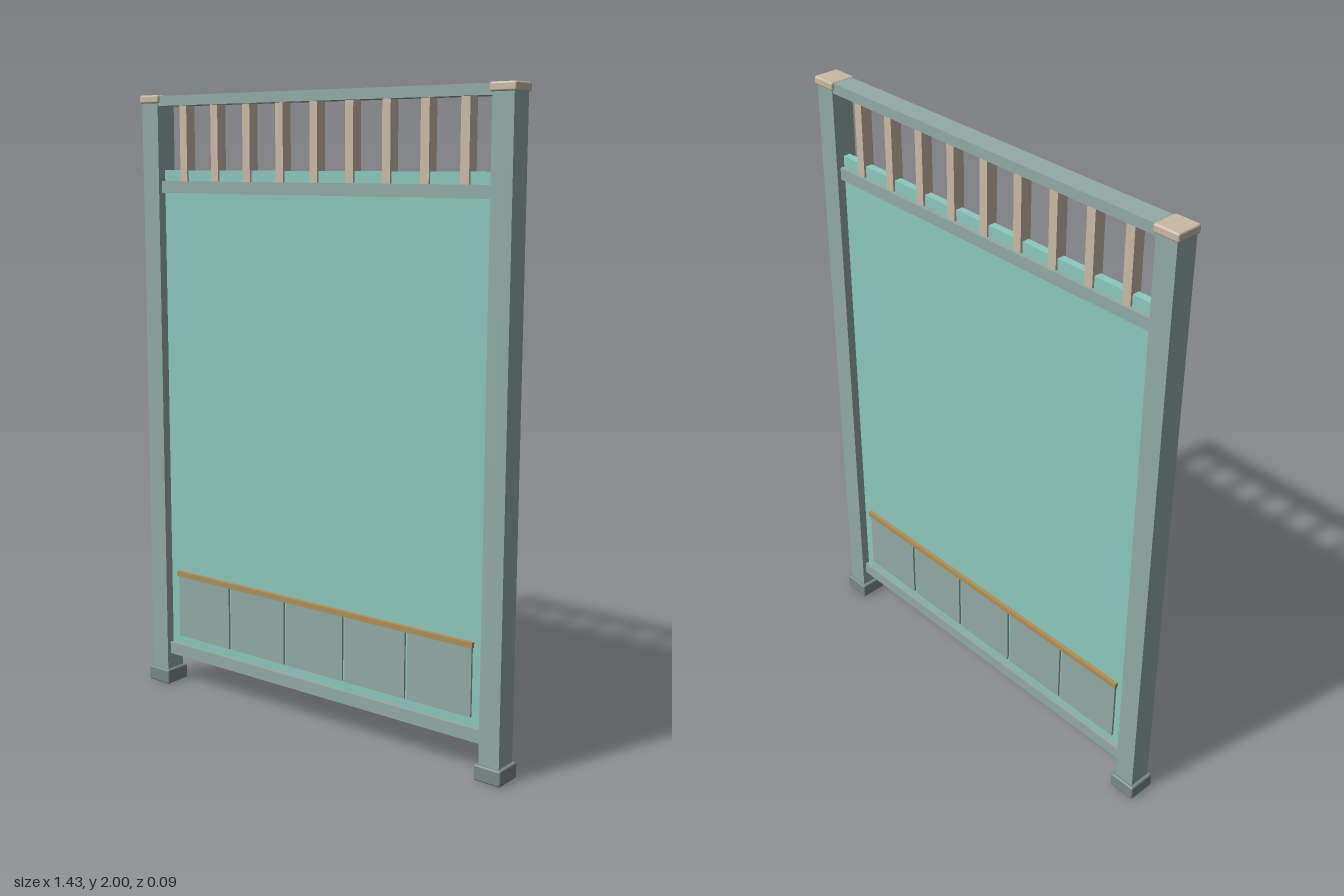
import * as THREE from 'three';
import { RoundedBoxGeometry } from 'three/addons/geometries/RoundedBoxGeometry.js';

const flat = (name, color) => new THREE.MeshStandardMaterial({ name, color });

export function createModel() {
  const frame = flat('greyGreenFrame', 0x92aaa5);
  const foot = flat('darkSlate', 0x788a87);
  const teal = flat('tealPanel', 0x8cc8be);
  const beige = flat('beige', 0xcabaa6);
  const gold = flat('gold', 0xb08f55);

  const model = new THREE.Group();
  model.name = 'panelScreen';

  // Box from its width, bottom, top and depth, with optional softened edges
  function box(name, mat, x, w, y0, y1, d, z = 0, bevel = 0) {
    const h = y1 - y0;
    const geo = bevel
      ? new RoundedBoxGeometry(w, h, d, 2, bevel)
      : new THREE.BoxGeometry(w, h, d);
    const mesh = new THREE.Mesh(geo, mat);
    mesh.name = name;
    mesh.position.set(x, y0 + h / 2, z);
    model.add(mesh);
  }

  // Posts with feet and caps
  for (const [side, s] of [['left', 1], ['right', -1]]) {
    box(side + 'Post', frame, s * 0.671, 0.07, 0.04, 1.98, 0.074);
    box(side + 'Foot', foot, s * 0.671, 0.092, 0, 0.05, 0.095, 0, 0.006);
    box(side + 'Cap', beige, s * 0.671, 0.084, 1.974, 2, 0.086, 0, 0.006);
  }

  // Horizontal rails
  box('topRail', frame, 0, 1.275, 1.965, 1.997, 0.07);
  box('middleRail', frame, 0, 1.264, 1.687, 1.725, 0.054);
  box('bottomRail', frame, 0, 1.264, 0.107, 0.148, 0.054);

  // Main infill sheet
  box('panel', teal, 0, 1.264, 0.12, 1.76, 0.024);

  // Row of balusters above the sheet
  for (let i = -4; i <= 4; i++) {
    box('baluster', beige, i * 0.135, 0.03, 1.72, 1.966, 0.038);
  }

  // Raised tiles and trim strip on both faces
  for (const [face, s] of [['front', 1], ['back', -1]]) {
    for (let i = -2; i <= 2; i++) {
      box(face + 'Tile', frame, i * 0.2395, 0.229, 0.177, 0.392, 0.008, s * 0.015);
    }
    box(face + 'TrimStrip', gold, 0, 1.196, 0.391, 0.408, 0.014, s * 0.018);
  }

  return model;
}
